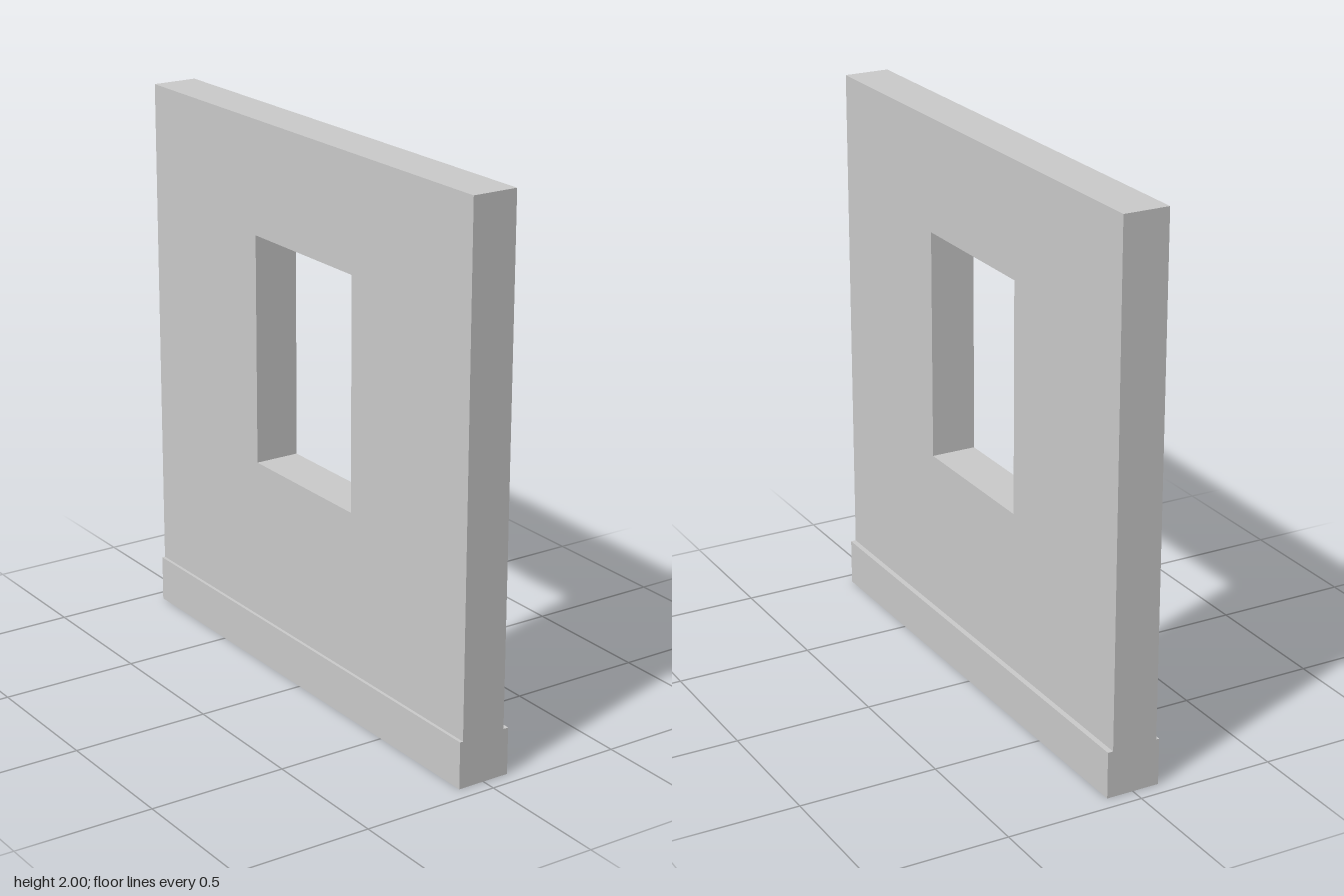
import * as THREE from 'three';

const HALF_LENGTH = 0.946;
const HEIGHT = 2;
const PLINTH_HEIGHT = 0.17;
const PLINTH_DEPTH = 0.197;
const WALL_LEFT = 0.079; // wall faces sit slightly off centre on the plinth
const WALL_RIGHT = -0.087;

// Rectangle outline given by its corners
function rectangle(PathType, x0, y0, x1, y1) {
  const path = new PathType();
  path.moveTo(x0, y0);
  path.lineTo(x1, y0);
  path.lineTo(x1, y1);
  path.lineTo(x0, y1);
  path.closePath();
  return path;
}

export function createModel() {
  const group = new THREE.Group();
  group.name = 'wallPanel';
  const material = new THREE.MeshStandardMaterial({ color: 0xcccccc, flatShading: true });

  // Wall with a window opening, drawn in z and y, then turned to face along x
  const outline = rectangle(THREE.Shape, -HALF_LENGTH, PLINTH_HEIGHT, HALF_LENGTH, HEIGHT);
  outline.holes.push(rectangle(THREE.Path, -0.283, 0.758, 0.299, 1.592));
  const wallGeometry = new THREE.ExtrudeGeometry(outline, {
    depth: WALL_LEFT - WALL_RIGHT,
    bevelEnabled: false,
  });
  wallGeometry.rotateY(-Math.PI / 2);
  wallGeometry.translate(WALL_LEFT, 0, 0);
  const wall = new THREE.Mesh(wallGeometry, material);
  wall.name = 'wall';
  group.add(wall);

  // Thicker plinth along the foot of the wall
  const plinth = new THREE.Mesh(
    new THREE.BoxGeometry(PLINTH_DEPTH, PLINTH_HEIGHT, 2 * HALF_LENGTH),
    material
  );
  plinth.name = 'plinth';
  plinth.position.y = PLINTH_HEIGHT / 2;
  group.add(plinth);

  return group;
}
